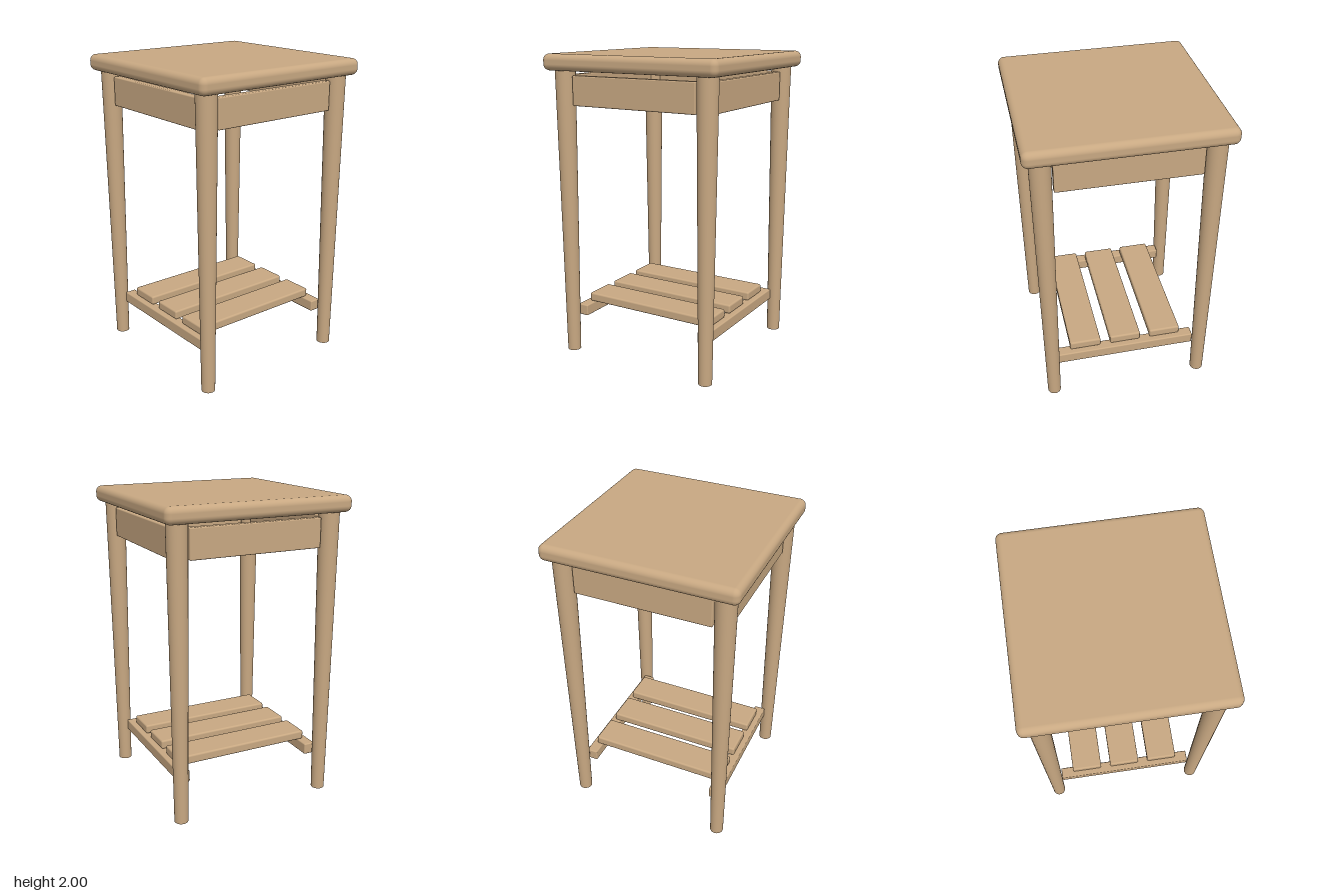
import * as THREE from 'three';
import { RoundedBoxGeometry } from 'three/addons/geometries/RoundedBoxGeometry.js';

export function createModel() {
  const table = new THREE.Group();
  table.name = 'sideTable';
  const wood = new THREE.MeshStandardMaterial({ color: 0xc8a882 });
  wood.name = 'paleWood';

  const add = (name, geometry, x, y, z) => {
    const mesh = new THREE.Mesh(geometry, wood);
    mesh.name = name;
    mesh.position.set(x, y, z);
    table.add(mesh);
    return mesh;
  };
  const board = (w, h, d, r) => new RoundedBoxGeometry(w, h, d, 4, r);

  // Square top with softly rounded edges
  add('tableTop', board(1.245, 0.105, 1.245, 0.04), 0, 1.9475, 0);

  // Four round legs, tapering towards the floor
  const inset = 0.515;
  const legGeometry = new THREE.CylinderGeometry(0.066, 0.044, 1.91, 32);
  for (const [side, x] of [['Left', inset], ['Right', -inset]]) {
    add('front' + side + 'Leg', legGeometry, x, 0.955, inset);
    add('back' + side + 'Leg', legGeometry, x, 0.955, -inset);
  }

  // Apron boards between the legs, just below the top
  const apron = board(0.89, 0.19, 0.05, 0.008);
  add('frontApron', apron, 0, 1.77, inset);
  add('backApron', apron, 0, 1.77, -inset);
  add('leftApron', apron, inset, 1.77, 0).rotation.y = Math.PI / 2;
  add('rightApron', apron, -inset, 1.77, 0).rotation.y = Math.PI / 2;

  // Side rails carrying the slatted shelf
  const rail = board(0.075, 0.075, 0.94, 0.008);
  add('leftShelfRail', rail, 0.4675, 0.2735, 0);
  add('rightShelfRail', rail, -0.4675, 0.2735, 0);

  // Three shelf slats
  const slat = board(0.94, 0.06, 0.21, 0.012);
  for (let i = -1; i <= 1; i++) add('shelfSlat' + (i + 2), slat, 0, 0.34, i * 0.278);

  return table;
}
